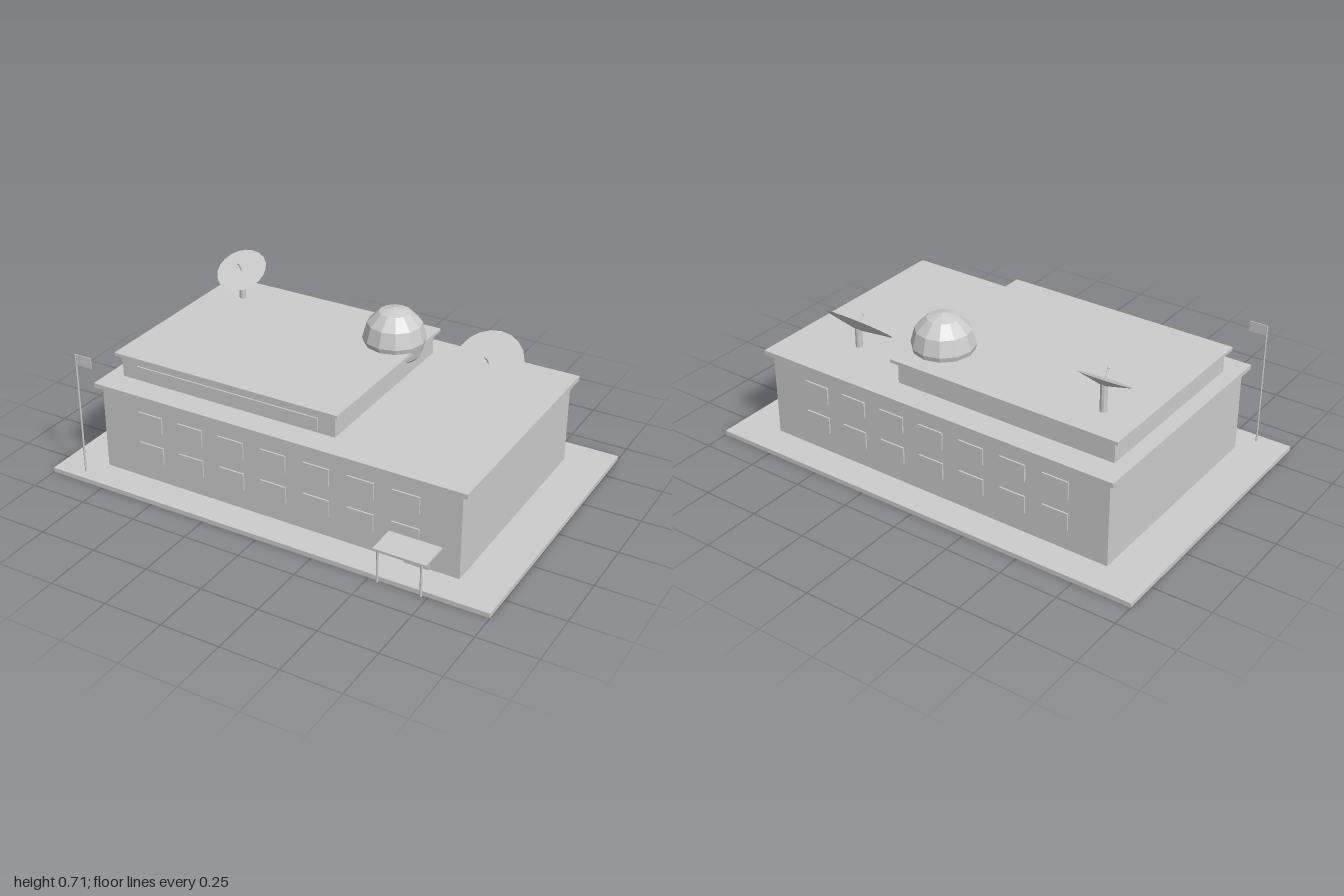
import * as THREE from 'three';

export function createModel() {
  const model = new THREE.Group();
  const grey = new THREE.MeshStandardMaterial({ color: 0xcccccc, flatShading: true });
  grey.name = 'concrete grey';

  const add = (name, geometry, parent = model) => {
    const mesh = new THREE.Mesh(geometry, grey);
    mesh.name = name;
    parent.add(mesh);
    return mesh;
  };
  // Box given by its limits on each axis
  const box = (name, x0, x1, y0, y1, z0, z1) => {
    const mesh = add(name, new THREE.BoxGeometry(x1 - x0, y1 - y0, z1 - z0));
    mesh.position.set((x0 + x1) / 2, (y0 + y1) / 2, (z0 + z1) / 2);
    return mesh;
  };
  // Upright round post between two heights
  const post = (name, x, z, y0, y1, r, sides = 8) => {
    const mesh = add(name, new THREE.CylinderGeometry(r, r, y1 - y0, sides));
    mesh.position.set(x, (y0 + y1) / 2, z);
    return mesh;
  };

  // Ground slab, main block and upper storey with overhanging roofs
  box('groundSlab', -1, 1, 0, 0.02, -0.645, 0.625);
  box('mainBlock', -0.815, 0.812, 0.02, 0.392, -0.51, 0.49);
  box('mainRoof', -0.842, 0.839, 0.39, 0.41, -0.535, 0.512);
  box('upperBlock', -0.775, 0.225, 0.41, 0.507, -0.42, 0.4);
  box('upperRoof', -0.799, 0.246, 0.505, 0.519, -0.443, 0.42);
  box('upperWindowStrip', -0.7, 0.15, 0.42, 0.475, 0.4, 0.406);

  // Two rows of seven windows, front and back
  for (let i = 0; i < 7; i++) {
    const x = (i - 3) * 0.194;
    for (const y of [0.11, 0.25]) {
      box('frontWindow', x - 0.058, x + 0.058, y, y + 0.075, 0.49, 0.497);
      box('backWindow', x - 0.058, x + 0.058, y, y + 0.075, -0.517, -0.51);
    }
  }

  // Entrance with canopy
  box('door', 0.582, 0.687, 0.02, 0.13, 0.49, 0.498);
  box('canopy', 0.525, 0.747, 0.143, 0.152, 0.512, 0.645);
  for (const x of [0.544, 0.726]) post('canopyPost', x, 0.637, 0.003, 0.145, 0.005);

  // Flagpole and flag
  post('flagpole', -0.866, 0.58, 0.02, 0.565, 0.004);
  box('flag', -0.866, -0.789, 0.52, 0.565, 0.578, 0.582);

  // Radar dome
  add('radome', new THREE.SphereGeometry(0.133, 12, 6)).position.set(0.134, 0.54, -0.243);

  // Tilted dish: shallow cone behind a flat face, with a feed rod and tip
  const dish = (x, y, z, r, tilt, roofY, feed) => {
    post('dishPost', x, z - 0.005, roofY, y - 0.015, 0.015, 10);
    const group = new THREE.Group();
    group.name = 'dish';
    group.position.set(x, y, z);
    group.rotation.x = tilt;
    model.add(group);
    add('dishBowl', new THREE.CylinderGeometry(r, 0.015, 0.022, 20), group).position.y = -0.011;
    add('feedRod', new THREE.CylinderGeometry(0.003, 0.003, feed, 6), group).position.y = feed / 2;
    add('feedTip', new THREE.SphereGeometry(0.006, 8, 6), group).position.y = feed;
  };
  dish(0.545, 0.51, -0.277, 0.147, 0.69, 0.41, 0.045);
  dish(-0.64, 0.65, -0.283, 0.111, 0.54, 0.519, 0.045);

  return model;
}
